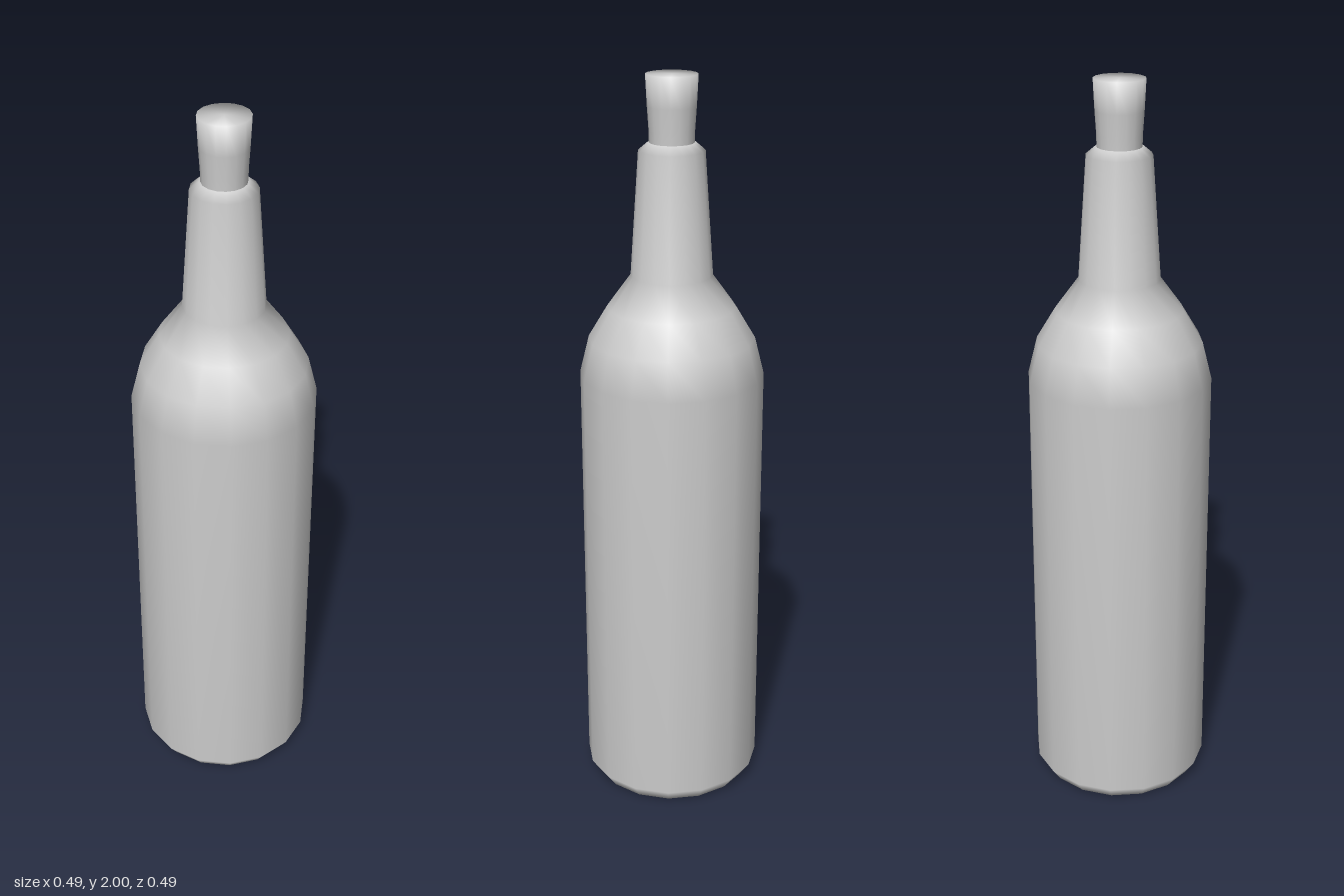
import * as THREE from 'three';

const SIDES = 16;

export function createModel() {
  const group = new THREE.Group();
  const grey = new THREE.MeshStandardMaterial({ color: 0xcccccc });
  grey.name = 'light grey';

  // Smooth-shaded turned part from [radius, height] pairs
  const turned = (name, profile) => {
    const points = profile.map(([r, y]) => new THREE.Vector2(r, y));
    const mesh = new THREE.Mesh(new THREE.LatheGeometry(points, SIDES), grey);
    mesh.name = name;
    group.add(mesh);
  };

  // Bottle: hollowed base, straight body, rounded shoulder, tapering neck and lip
  turned('bottle', [
    [0, 0.13], [0.07, 0.11], [0.12, 0.07], [0.155, 0.015], [0.175, 0], [0.222, 0.005],
    [0.246, 0.04], [0.246, 1.215],
    [0.221, 1.315], [0.17, 1.4], [0.108, 1.485],
    [0.086, 1.81], [0.062, 1.83], [0.05, 1.83],
  ]);

  // Stopper: slightly flared towards the top
  turned('stopper', [
    [0.058, 1.81], [0.059, 1.86], [0.063, 1.92], [0.067, 2], [0, 2],
  ]);

  return group;
}
